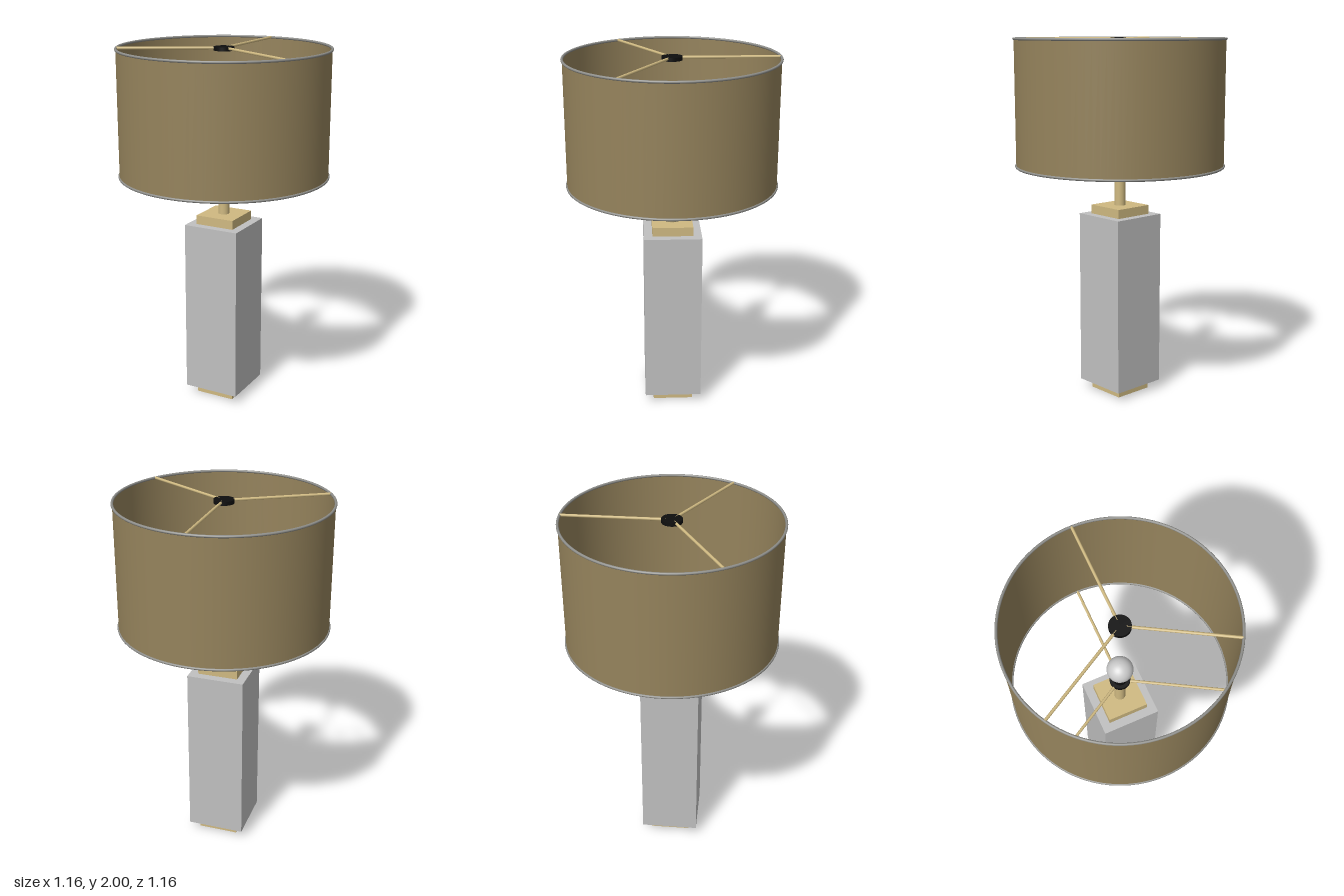
import * as THREE from 'three';

const material = (name, color, side = THREE.FrontSide) => {
  const m = new THREE.MeshStandardMaterial({ color, side });
  m.name = name;
  return m;
};

export function createModel() {
  const lamp = new THREE.Group();
  lamp.name = 'tableLamp';

  const stone = material('grey stone', 0xc0c0c0);
  const brass = material('brass', 0xcfb981);
  const fabric = material('tan fabric', 0x95835c, THREE.DoubleSide);
  const trim = material('grey trim', 0x8e8e8a);
  const black = material('black', 0x0e0e0e);
  const glass = material('bulb glass', 0xcccccc);

  const add = (name, geometry, mat, y = 0, parent = lamp) => {
    const mesh = new THREE.Mesh(geometry, mat);
    mesh.name = name;
    mesh.position.y = y;
    parent.add(mesh);
    return mesh;
  };
  const box = (name, width, y0, y1, mat) =>
    add(name, new THREE.BoxGeometry(width, y1 - y0, width), mat, (y0 + y1) / 2);
  const cylinder = (name, r, y0, y1, mat, parent) =>
    add(name, new THREE.CylinderGeometry(r, r, y1 - y0, 32), mat, (y0 + y1) / 2, parent);

  // Square column between two brass plates
  box('footPlate', 0.225, 0, 0.05, brass);
  box('column', 0.32, 0.05, 1.03, stone);
  box('topPlate', 0.225, 1.03, 1.08, brass);
  cylinder('stem', 0.03, 1.08, 1.305, brass);

  // Open drum shade
  const shadeBottom = 1.3, shadeTop = 2, shadeRadius = 0.572;
  add('shade',
    new THREE.CylinderGeometry(shadeRadius, shadeRadius, shadeTop - shadeBottom - 0.014, 96, 1, true),
    fabric, (shadeBottom + shadeTop) / 2);

  // Rim, hub and three spokes at each end of the shade
  const addSpider = (name, y, hubBottom, hubTop) => {
    const spider = new THREE.Group();
    spider.name = name;
    lamp.add(spider);
    const rim = new THREE.TorusGeometry(shadeRadius, 0.007, 10, 96);
    rim.rotateX(Math.PI / 2);
    add('rim', rim, trim, y, spider);
    cylinder('hub', 0.055, hubBottom, hubTop, black, spider);
    for (let i = 0; i < 3; i++) {
      const spoke = new THREE.CylinderGeometry(0.0075, 0.0075, 0.54, 10);
      spoke.rotateX(Math.PI / 2);
      spoke.translate(0, 0, -0.3);
      add('spoke', spoke, brass, y, spider).rotation.y = (i * 2 * Math.PI) / 3;
    }
  };
  addSpider('topSpider', shadeTop - 0.007, 1.98, 2);
  addSpider('bottomSpider', shadeBottom + 0.007, 1.3, 1.32);

  // Socket and round bulb
  cylinder('socket', 0.037, 1.32, 1.365, black);
  const bulbProfile = [new THREE.Vector2(0, 1.36), new THREE.Vector2(0.03, 1.36), new THREE.Vector2(0.032, 1.38)];
  for (let i = 0; i <= 16; i++) {
    const a = THREE.MathUtils.lerp(-0.9, Math.PI / 2, i / 16);
    bulbProfile.push(new THREE.Vector2(Math.max(0, 0.07 * Math.cos(a)), 1.455 + 0.07 * Math.sin(a)));
  }
  add('bulb', new THREE.LatheGeometry(bulbProfile, 32), glass);

  return lamp;
}
